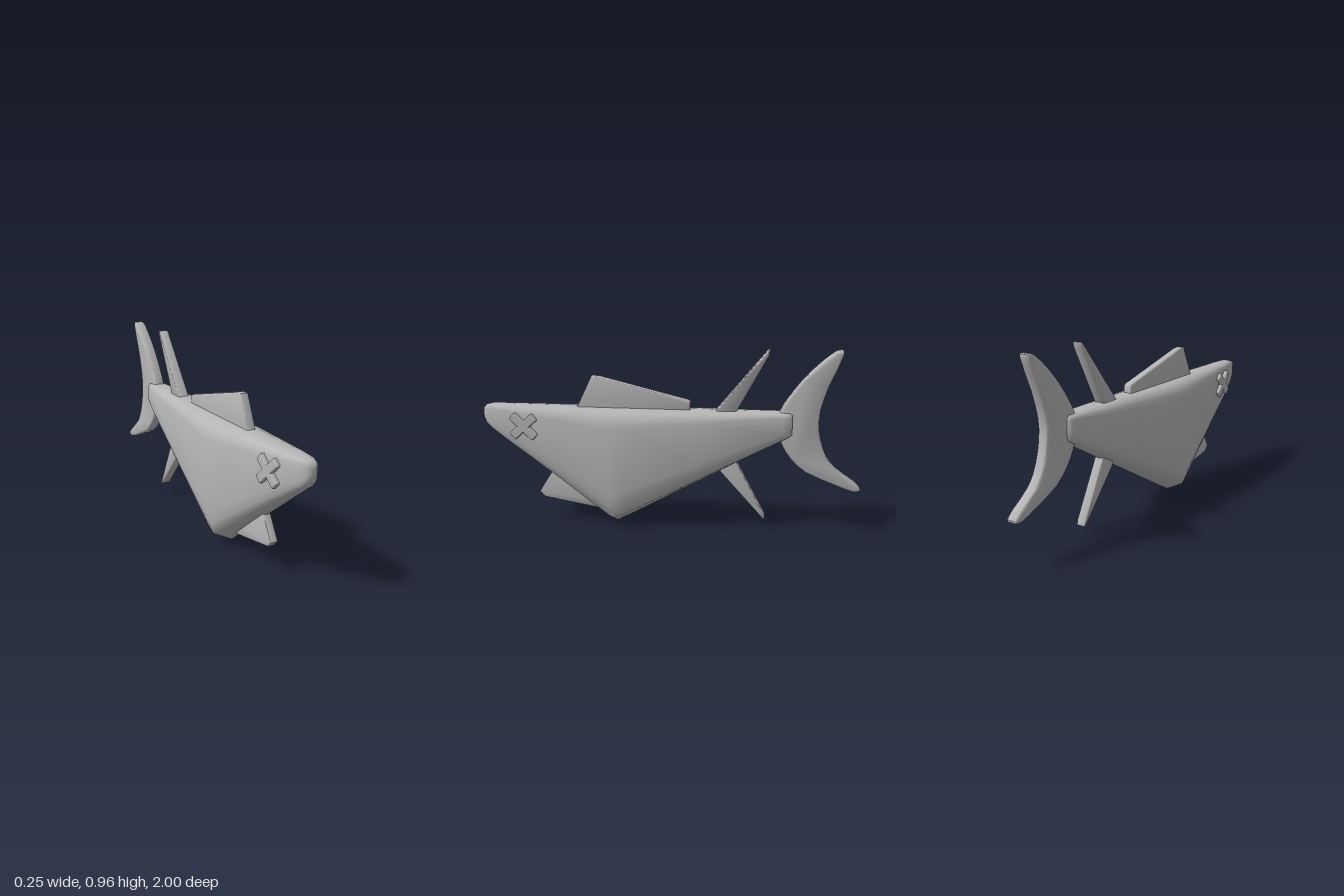
import * as THREE from 'three';
import { toCreasedNormals } from 'three/addons/utils/BufferGeometryUtils.js';
import { RoundedBoxGeometry } from 'three/addons/geometries/RoundedBoxGeometry.js';

const grey = new THREE.MeshStandardMaterial({ color: 0xb6b6b6 });
grey.name = 'fish grey';

function mesh(name, geometry) {
  const m = new THREE.Mesh(geometry, grey);
  m.name = name;
  return m;
}

// Body: one cross-section per station, from nose to tail
function bodyGeometry() {
  // z, bottom, top, half width
  const stations = [
    [1.0, 0.56, 0.615, 0.014], [0.985, 0.53, 0.632, 0.03], [0.95, 0.495, 0.64, 0.042],
    [0.85, 0.422, 0.64, 0.062], [0.6, 0.237, 0.64, 0.09], [0.31, 0.012, 0.64, 0.121],
    [0.285, 0.002, 0.64, 0.123], [0.22, 0.035, 0.64, 0.125], [-0.15, 0.242, 0.64, 0.097],
    [-0.59, 0.485, 0.64, 0.055], [-0.62, 0.503, 0.64, 0.051], [-0.635, 0.515, 0.63, 0.04],
  ];
  // width share, height share, from back ridge to keel
  const half = [[0, 1], [0.42, 0.99], [0.76, 0.967], [0.93, 0.91], [1, 0.855],
    [1, 0.29], [0.92, 0.17], [0.76, 0.075], [0, 0]];
  const ring = [...half, ...half.slice(1, -1).reverse().map(([x, y]) => [-x, y])];
  const n = ring.length, last = (stations.length - 1) * n;
  const pos = [], index = [];
  for (const [z, lo, hi, w] of stations)
    for (const [x, y] of ring) pos.push(x * w, lo + y * (hi - lo), z);
  const front = pos.length / 3, back = front + 1;
  pos.push(0, 0.59, 1.0, 0, 0.57, -0.637);
  for (let j = 0; j < n; j++) {
    const k = (j + 1) % n;
    for (let i = 0; i < last; i += n) index.push(i + j, i + k, i + n + k, i + j, i + n + k, i + n + j);
    index.push(front, k, j, back, last + j, last + k);
  }
  const g = new THREE.BufferGeometry();
  g.setAttribute('position', new THREE.Float32BufferAttribute(pos, 3));
  g.setIndex(index);
  return toCreasedNormals(g, 0.95);
}

// Fin: side outline of [z, y] points, extruded across x with softened edges
function fin(name, points, halfThickness, bevel, curved = false) {
  let outline = points.map(([z, y]) => new THREE.Vector2(z, y));
  if (curved) outline = new THREE.CatmullRomCurve3(
    points.map(([z, y]) => new THREE.Vector3(z, y, 0)), true).getPoints(44).slice(0, -1)
    .map((p) => new THREE.Vector2(p.x, p.y));
  const depth = 2 * (halfThickness - bevel);
  const g = new THREE.ExtrudeGeometry(new THREE.Shape(outline), {
    depth, bevelEnabled: true, bevelThickness: bevel, bevelSize: bevel, bevelOffset: -bevel, bevelSegments: 2,
  });
  g.translate(0, 0, -depth / 2);
  g.rotateY(-Math.PI / 2);
  return mesh(name, toCreasedNormals(g, 0.8));
}

export function createModel() {
  const fish = new THREE.Group();
  fish.name = 'fish';
  fish.add(mesh('body', bodyGeometry()));

  fish.add(fin('dorsalFin',
    [[0.5, 0.61], [0.41, 0.8], [0.375, 0.8], [-0.1, 0.685], [-0.11, 0.675], [-0.11, 0.61]], 0.023, 0.007));
  fish.add(fin('rearDorsalFin',
    [[-0.22, 0.61], [-0.5, 0.955], [-0.512, 0.96], [-0.508, 0.935], [-0.335, 0.61]], 0.029, 0.008));
  fish.add(fin('analFin',
    [[-0.27, 0.37], [-0.27, 0.31], [-0.5, 0.055], [-0.512, 0.05], [-0.508, 0.075], [-0.34, 0.39]], 0.027, 0.008));
  fish.add(fin('bellyFin',
    [[0.62, 0.3], [0.71, 0.155], [0.68, 0.125], [0.39, 0.075], [0.36, 0.12]], 0.021, 0.006));

  // Crescent tail
  fish.add(fin('tailFin', [
    [-0.57, 0.64], [-0.62, 0.725], [-0.7, 0.83], [-0.81, 0.935], [-0.85, 0.96], [-0.876, 0.958],
    [-0.868, 0.92], [-0.8, 0.75], [-0.77, 0.62], [-0.78, 0.51], [-0.82, 0.4], [-0.87, 0.34],
    [-0.975, 0.265], [-0.998, 0.235], [-0.965, 0.225], [-0.86, 0.26], [-0.7, 0.33], [-0.62, 0.41],
    [-0.58, 0.48], [-0.56, 0.56],
  ], 0.029, 0.01, true));

  // Crossed bars for eyes
  for (const side of [1, -1]) {
    const eye = new THREE.Group();
    eye.name = side > 0 ? 'leftEye' : 'rightEye';
    for (const [turn, length] of [[0.83, 0.17], [-0.83, 0.165]]) {
      const bar = mesh('eyeBar', new RoundedBoxGeometry(0.033, length, 0.046, 2, 0.008));
      bar.rotation.x = turn;
      eye.add(bar);
    }
    eye.position.set(side * 0.075, 0.535, 0.765);
    eye.rotation.y = -side * 0.09;
    fish.add(eye);
  }
  return fish;
}
